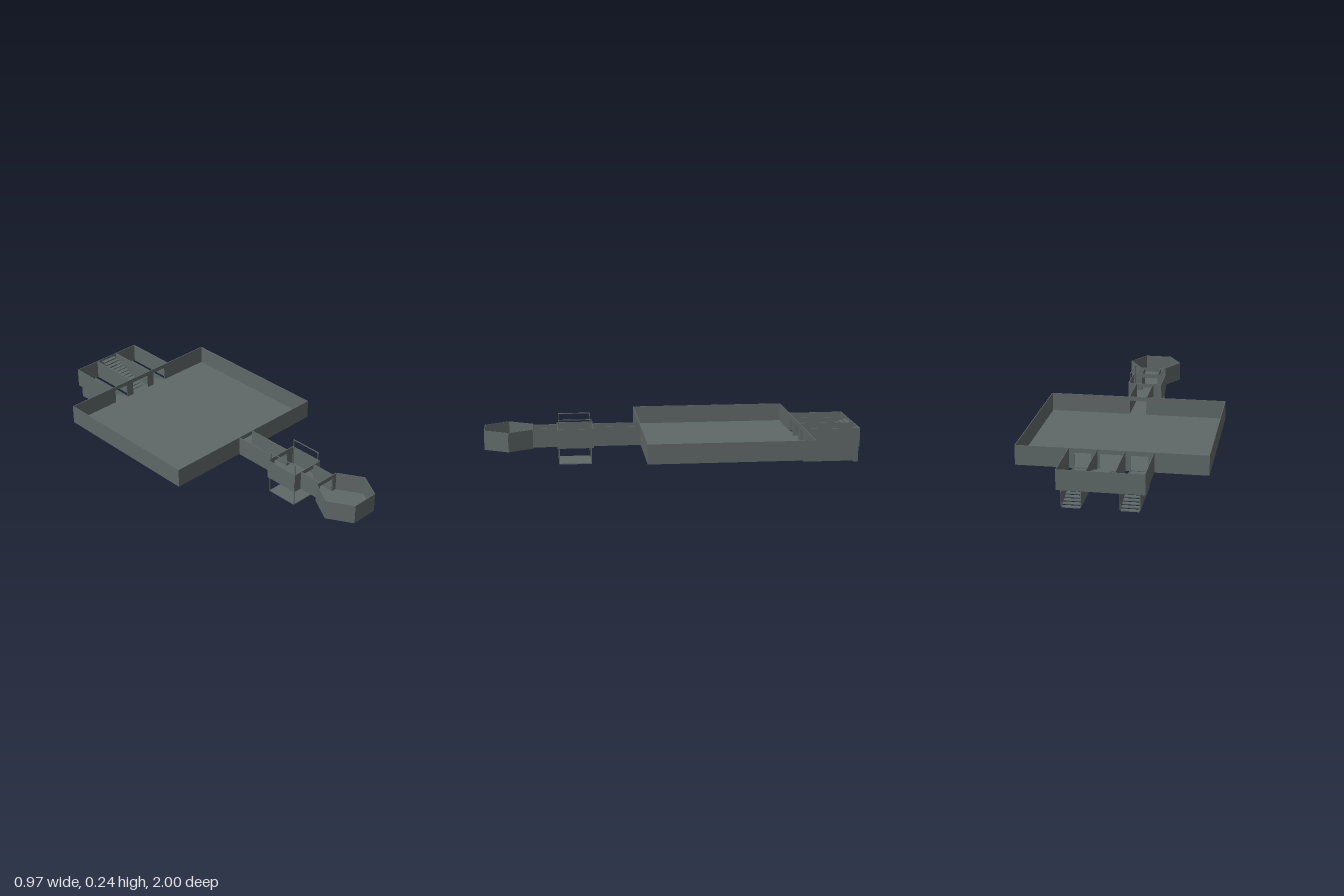
import * as THREE from 'three';

const stone = new THREE.MeshStandardMaterial({ color: 0x5f6767 });
stone.name = 'slate grey';
const T = 0.004; // wall thickness
const FLOOR = 0.095, TOP = 0.195, DOOR = 0.172;

export function createModel() {
  const model = new THREE.Group();
  model.name = 'floorPlan';

  // Box given by its limits on each axis
  const block = (name, x0, x1, y0, y1, z0, z1, parent = model) => {
    const mesh = new THREE.Mesh(new THREE.BoxGeometry(x1 - x0, y1 - y0, z1 - z0), stone);
    mesh.position.set((x0 + x1) / 2, (y0 + y1) / 2, (z0 + z1) / 2);
    mesh.name = name;
    parent.add(mesh);
    return mesh;
  };
  const floor = (name, x0, x1, z0, z1) => block(name, x0, x1, FLOOR - T, FLOOR, z0, z1);
  const sideWall = (name, x, z0, z1, y0 = FLOOR - T, y1 = TOP) =>
    block(name, x - T / 2, x + T / 2, y0, y1, z0, z1);

  // Wall across x with door openings, extruded from a shape with holes
  const crossWall = (name, halfWidth, z, doors = []) => {
    const y0 = FLOOR - T;
    const shape = new THREE.Shape([[-halfWidth, y0], [halfWidth, y0], [halfWidth, TOP], [-halfWidth, TOP]]
      .map(p => new THREE.Vector2(...p)));
    for (const [a, b] of doors) {
      shape.holes.push(new THREE.Path([[a, FLOOR], [a, DOOR], [b, DOOR], [b, FLOOR]]
        .map(p => new THREE.Vector2(...p))));
    }
    const mesh = new THREE.Mesh(new THREE.ExtrudeGeometry(shape, { depth: T, bevelEnabled: false }), stone);
    mesh.position.z = z - T / 2;
    mesh.name = name;
    model.add(mesh);
  };
  const hallDoor = [-0.048, 0.048];

  // Main hall
  floor('hallFloor', -0.485, 0.485, -0.7, 0.165);
  crossWall('hallFrontWall', 0.487, 0.163, [hallDoor]);
  crossWall('hallBackWall', 0.487, -0.7, [[-0.185, -0.1], [-0.055, 0.055], [0.1, 0.185]]);

  // Corridors, lift room between them
  floor('longCorridorFloor', -0.05, 0.05, 0.165, 0.42);
  floor('shortCorridorFloor', -0.05, 0.05, 0.61, 0.74);
  floor('liftRoomFloor', -0.095, 0.095, 0.42, 0.61);
  crossWall('liftRoomBackWall', 0.095, 0.42, [hallDoor]);
  crossWall('liftRoomFrontWall', 0.095, 0.61, [hallDoor]);

  for (const s of [-1, 1]) {
    sideWall('hallSideWall', s * 0.485, -0.7, 0.165);
    sideWall('longCorridorWall', s * 0.048, 0.165, 0.42);
    sideWall('shortCorridorWall', s * 0.048, 0.61, 0.74);
    sideWall('liftRoomSideWall', s * 0.094, 0.42, 0.61);

    // Lift side frames
    const frame = new THREE.Group();
    frame.name = 'liftFrame';
    model.add(frame);
    const x = s * 0.087, b = 0.002;
    for (const z of [0.432, 0.603]) block('liftPost', x - b, x + b, 0.005, 0.247, z - b, z + b, frame);
    block('liftTopRail', x - b, x + b, 0.243, 0.247, 0.43, 0.605, frame);

    // Stair annex walls
    sideWall('annexSideWall', s * 0.213, -1, -0.7);
    sideWall('annexPartition', s * 0.07, -1, -0.7);

    // Stairwell going down, with open treads
    sideWall('stairwellInnerWall', s * 0.094, -1, -0.7, 0.01, FLOOR);
    sideWall('stairwellOuterWall', s * 0.19, -1, -0.7, 0.01, FLOOR);
    const n = 12;
    for (let i = 0; i < n; i++) {
      const z = -0.7 - (i * 0.3) / n, y = 0.09 - (i * 0.083) / (n - 1);
      block('downTread', s * 0.142 - 0.045, s * 0.142 + 0.045, y - 0.004, y, z - 0.025, z);
    }
  }
  block('liftPlatform', -0.087, 0.087, 0.002, 0.007, 0.43, 0.605);

  // Annex back wall and the stair going up
  crossWall('annexBackWall', 0.215, -0.998);
  floor('annexCentreFloor', -0.07, 0.07, -1, -0.7);
  const steps = 12;
  for (let i = 0; i < steps; i++) {
    const z = -0.73 - (i * 0.255) / steps, y = FLOOR + ((i + 1) * 0.095) / steps;
    block('upTread', -0.045, 0.045, y - 0.004, y, z - 0.022, z);
  }

  // Hexagonal chamber, with a doorway in its back side
  const R = 0.147, apothem = 0.129, cz = 0.87;
  const base = new THREE.Mesh(new THREE.CylinderGeometry(R, R, T, 6, 1, false, Math.PI / 2), stone);
  base.position.set(0, FLOOR - T / 2, cz);
  base.name = 'chamberFloor';
  model.add(base);
  crossWall('chamberBackWall', R / 2, cz - apothem, [hallDoor]);
  for (let i = -2; i <= 2; i++) {
    const side = new THREE.Group();
    side.name = 'chamberWall';
    side.position.z = cz;
    side.rotation.y = (i * Math.PI) / 3;
    block('chamberPanel', -R / 2, R / 2, FLOOR - T, TOP, apothem - T, apothem, side);
    model.add(side);
  }
  return model;
}
